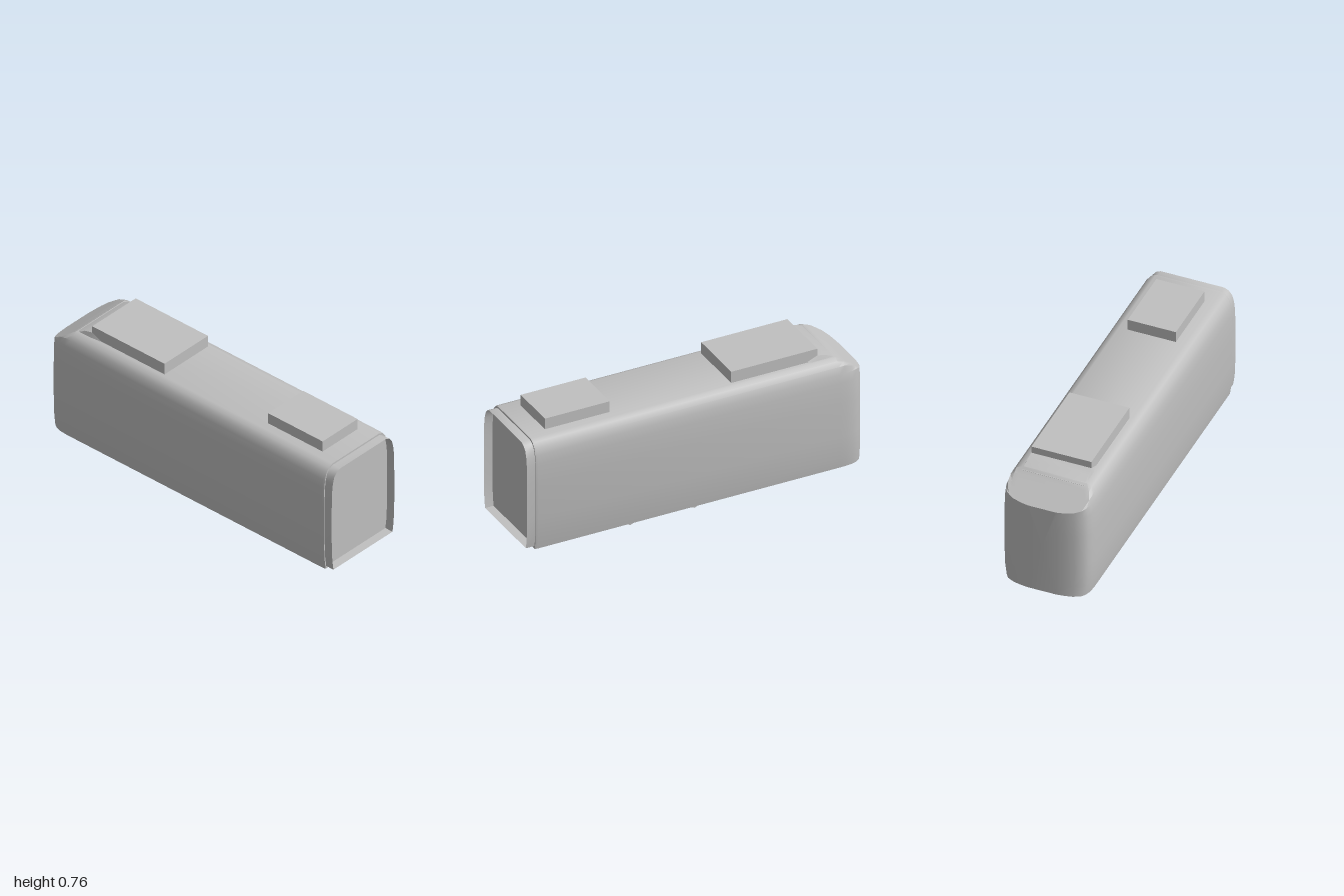
import * as THREE from 'three';
import { toCreasedNormals } from 'three/addons/utils/BufferGeometryUtils.js';

// Half of the body cross-section, from floor edge up to roof edge
const HALF = [
  [0.238, 0.055], [0.247, 0.12], [0.252, 0.25], [0.252, 0.45], [0.249, 0.57],
  [0.243, 0.62], [0.232, 0.66], [0.212, 0.685], [0.185, 0.697],
];
const SECTION = [...HALF, ...HALF.map(([x, y]) => [-x, y]).reverse()];

// Skin closed rings, ordered from front to back, with optional flat end caps
function loft(rings, capped) {
  const pos = [];
  const tri = (a, b, c) => pos.push(...a, ...b, ...c);
  const n = rings[0].length;
  for (let i = 0; i < rings.length - 1; i++) {
    for (let j = 0; j < n; j++) {
      const k = (j + 1) % n;
      const a = rings[i][j], b = rings[i][k], c = rings[i + 1][k], d = rings[i + 1][j];
      tri(a, d, c);
      tri(a, c, b);
    }
  }
  if (capped) {
    const first = rings[0], last = rings[rings.length - 1];
    for (let j = 0; j < n; j++) {
      const k = (j + 1) % n;
      tri([0, 0.35, first[0][2]], first[j], first[k]);
      tri([0, 0.35, last[0][2]], last[k], last[j]);
    }
  }
  const geo = new THREE.BufferGeometry();
  geo.setAttribute('position', new THREE.Float32BufferAttribute(pos, 3));
  return toCreasedNormals(geo, 0.55);
}

export function createModel() {
  const model = new THREE.Group();
  model.name = 'railCar';
  const grey = new THREE.MeshStandardMaterial({ color: 0xc0c0c0, side: THREE.DoubleSide });
  grey.name = 'grey';

  function add(name, geometry, x = 0, y = 0, z = 0) {
    const mesh = new THREE.Mesh(geometry, grey);
    mesh.name = name;
    mesh.position.set(x, y, z);
    model.add(mesh);
    return mesh;
  }

  // Body: constant section, then a rounded nose cut by a sloping top plane
  const roofAt = (z) => 0.697 - Math.max(0, -0.835 - z) * 0.65;
  const stations = [
    [0.95, 0.985], [0.938, 1], [-0.835, 1], [-0.87, 0.997], [-0.91, 0.98], [-0.94, 0.94],
    [-0.965, 0.865], [-0.985, 0.7], [-0.995, 0.5], [-1, 0.33],
  ];
  add('body', loft(stations.map(([z, w]) =>
    SECTION.map(([x, y]) => [x * w, Math.min(y, roofAt(z)), z])), true));

  // Thin open lip around the recessed coupling end
  add('endLip', loft([1, 0.95].map((z) =>
    SECTION.map(([x, y]) => [x * 0.965, 0.07 + (y - 0.055) * 0.961, z])), false));

  // Roof units
  add('rearRoofUnit', new THREE.BoxGeometry(0.338, 0.075, 0.505), 0, 0.727, -0.4875);
  add('frontRoofUnit', new THREE.BoxGeometry(0.272, 0.07, 0.38), 0, 0.726, 0.65);

  // Low fairing between the rear roof unit and the sloping nose
  const fairing = loft([
    [-0.68, 0.17, 0.7], [-0.74, 0.17, 0.725], [-0.79, 0.172, 0.714], [-0.85, 0.175, 0.688],
  ].map(([z, w, top]) => [
    [w + 0.015, 0.68, z], [w, top, z], [-w, top, z], [-w - 0.015, 0.68, z],
  ]), true);
  add('roofFairing', fairing);

  // Thin wheels, mostly hidden above the floor
  const wheel = new THREE.CylinderGeometry(0.066, 0.066, 0.02, 8);
  wheel.rotateZ(Math.PI / 2);
  for (const side of [-1, 1]) {
    for (const z of [0.355, -0.02]) add('wheel', wheel, side * 0.158, 0.066, z);
  }
  return model;
}
